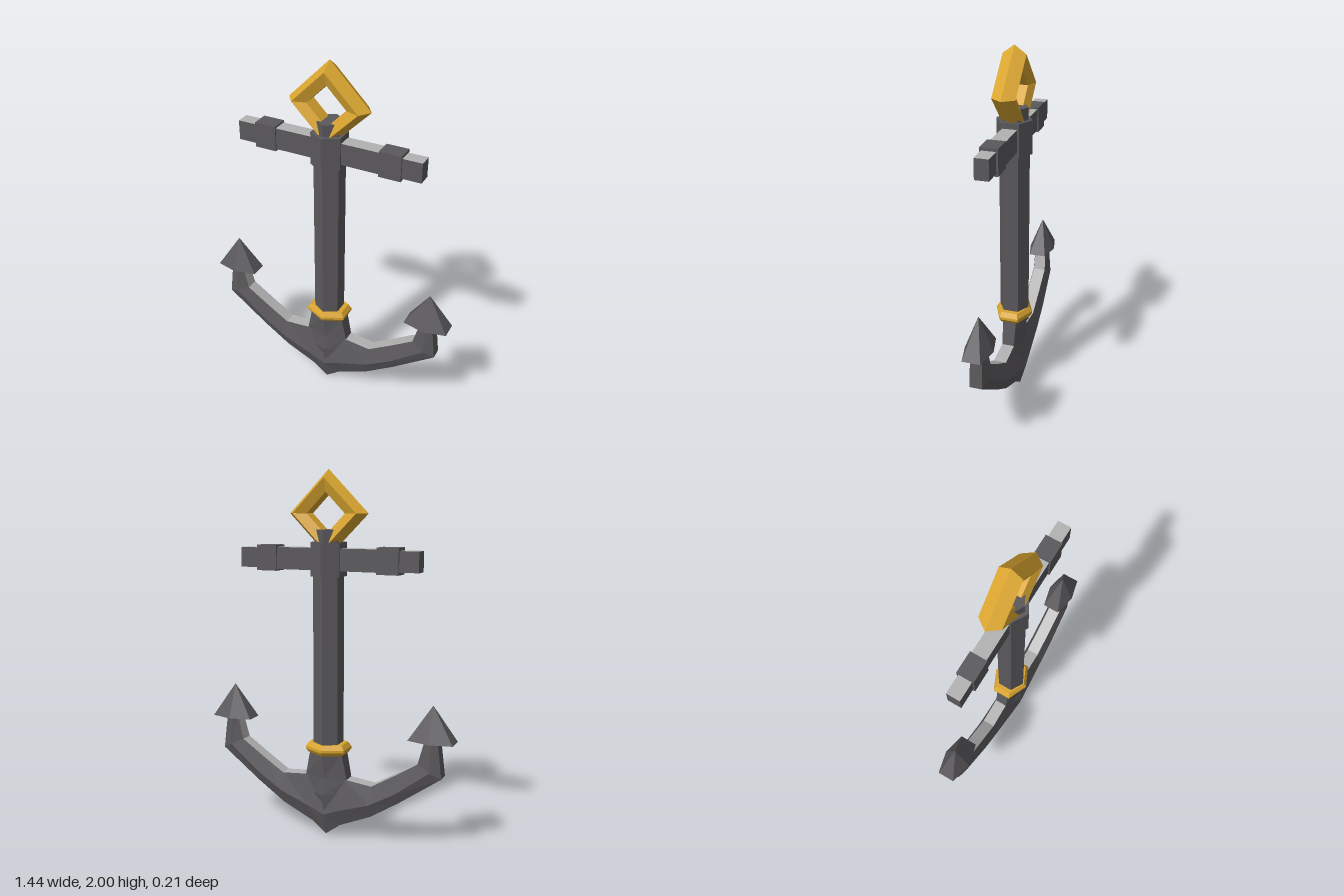
import * as THREE from 'three';

const mat = (name, color) => {
  const m = new THREE.MeshStandardMaterial({ color, flatShading: true });
  m.name = name;
  return m;
};

// Skin a list of closed rings (counter-clockwise seen from the last ring).
// Strip 0 gets material group 0, everything else group 1.
function loft(rings) {
  const n = rings[0].length, last = rings.length - 1, pos = [];
  const tri = (...pts) => pts.forEach((p) => pos.push(...p));
  let stripEnd = 0;
  for (let i = 0; i < n; i++) {
    const j = (i + 1) % n;
    for (let r = 0; r < last; r++) {
      const a = rings[r][i], b = rings[r][j], c = rings[r + 1][j], d = rings[r + 1][i];
      tri(a, b, c);
      tri(a, c, d);
    }
    if (i === 0) stripEnd = pos.length / 3;
  }
  for (let i = 1; i < n - 1; i++) {
    tri(rings[0][0], rings[0][i + 1], rings[0][i]);
    tri(rings[last][0], rings[last][i], rings[last][i + 1]);
  }
  const g = new THREE.BufferGeometry();
  g.setAttribute('position', new THREE.Float32BufferAttribute(pos, 3));
  g.addGroup(0, stripEnd, 0);
  g.addGroup(stripEnd, pos.length / 3 - stripEnd, 1);
  g.computeVertexNormals();
  return g;
}

// Upright six-sided ring with points facing front and back
const hex = (y, hx, zv, zc = zv / 2, cx = 0) => [
  [cx + hx, y, zc], [cx + hx, y, -zc], [cx, y, -zv],
  [cx - hx, y, -zc], [cx - hx, y, zc], [cx, y, zv],
];

export function createModel() {
  const iron = mat('darkIron', 0x5a585b);
  const steel = mat('lightSteel', 0xb2b2b2);
  const gold = mat('gold', 0xdaa530);
  const group = new THREE.Group();
  group.name = 'anchor';
  const add = (name, geometry, material, parent = group) => {
    const mesh = new THREE.Mesh(geometry, material);
    mesh.name = name;
    parent.add(mesh);
    return mesh;
  };
  const hexPart = (name, rings, material, parent) =>
    add(name, loft(rings.map((r) => hex(...r))), [material, material], parent);

  // Shank with its head block and top knob
  hexPart('shank', [[0.45, 0.072, 0.083], [1.5, 0.072, 0.083]], iron);
  hexPart('headBlock', [[1.445, 0.084, 0.097], [1.625, 0.084, 0.097]], iron);
  hexPart('topKnob', [[1.62, 0.065, 0.075], [1.69, 0.065, 0.075]], iron);

  // Crown that widens below the shank and sinks into the arms
  hexPart('crown', [[0.13, 0.05, 0.064], [0.24, 0.11, 0.075], [0.335, 0.124, 0.066], [0.48, 0.095, 0.076]], iron);

  // Bevelled collar
  hexPart('collar', [[0.47, 0.1, 0.09], [0.49, 0.115, 0.104], [0.505, 0.115, 0.104], [0.53, 0.098, 0.088]], gold);

  // Square shackle ring standing on its corner
  add('shackleRing', new THREE.TorusGeometry(0.162, 0.0647, 5, 4), gold).position.y = 1.773;

  // Crossbar with light upper faces and dark bands
  const topped = [iron, iron, steel, iron, iron, iron];
  const bar = (name, x0, x1, h, d, material, parent) =>
    add(name, new THREE.BoxGeometry(x1 - x0, h, d), material, parent)
      .position.set((x0 + x1) / 2, 1.535, 0);

  // Arm cross-sections: inner edge, side ridge and outer edge as [x, y, half depth]
  const stations = [
    [[0, 0.33, 0.035], [0, 0.125, 0.07], [0, 0, 0.035]],
    [[0.12, 0.335, 0.035], [0.1, 0.165, 0.068], [0.085, 0.065, 0.035]],
    [[0.27, 0.32, 0.035], [0.265, 0.22, 0.062], [0.265, 0.145, 0.035]],
    [[0.4, 0.4, 0.035], [0.41, 0.305, 0.06], [0.425, 0.25, 0.035]],
    [[0.53, 0.485, 0.035], [0.6, 0.45, 0.055], [0.66, 0.42, 0.033]],
    [[0.565, 0.62, 0.03], [0.6, 0.62, 0.042], [0.635, 0.62, 0.03]],
  ];
  const armRings = stations.map(([a, b, c]) => [
    [a[0], a[1], -a[2]], a, b, c, [c[0], c[1], -c[2]], [b[0], b[1], -b[2]],
  ]);

  // Both halves are alike, so the right one is the left turned half round
  for (const side of ['left', 'right']) {
    const half = new THREE.Group();
    half.name = side + 'Half';
    half.rotation.y = side === 'left' ? 0 : Math.PI;
    group.add(half);
    bar(side + 'CrossbarInner', 0, 0.3, 0.118, 0.08, topped, half);
    bar(side + 'CrossbarBand', 0.29, 0.41, 0.138, 0.094, iron, half);
    bar(side + 'CrossbarEnd', 0.4, 0.515, 0.108, 0.074, topped, half);
    add(side + 'Arm', loft(armRings), [steel, iron], half);
    hexPart(side + 'Fluke', [[0.61, 0.122, 0.076, 0.048, 0.597], [0.8, 0.001, 0.001, 0.0005, 0.597]], iron, half);
  }
  return group;
}
